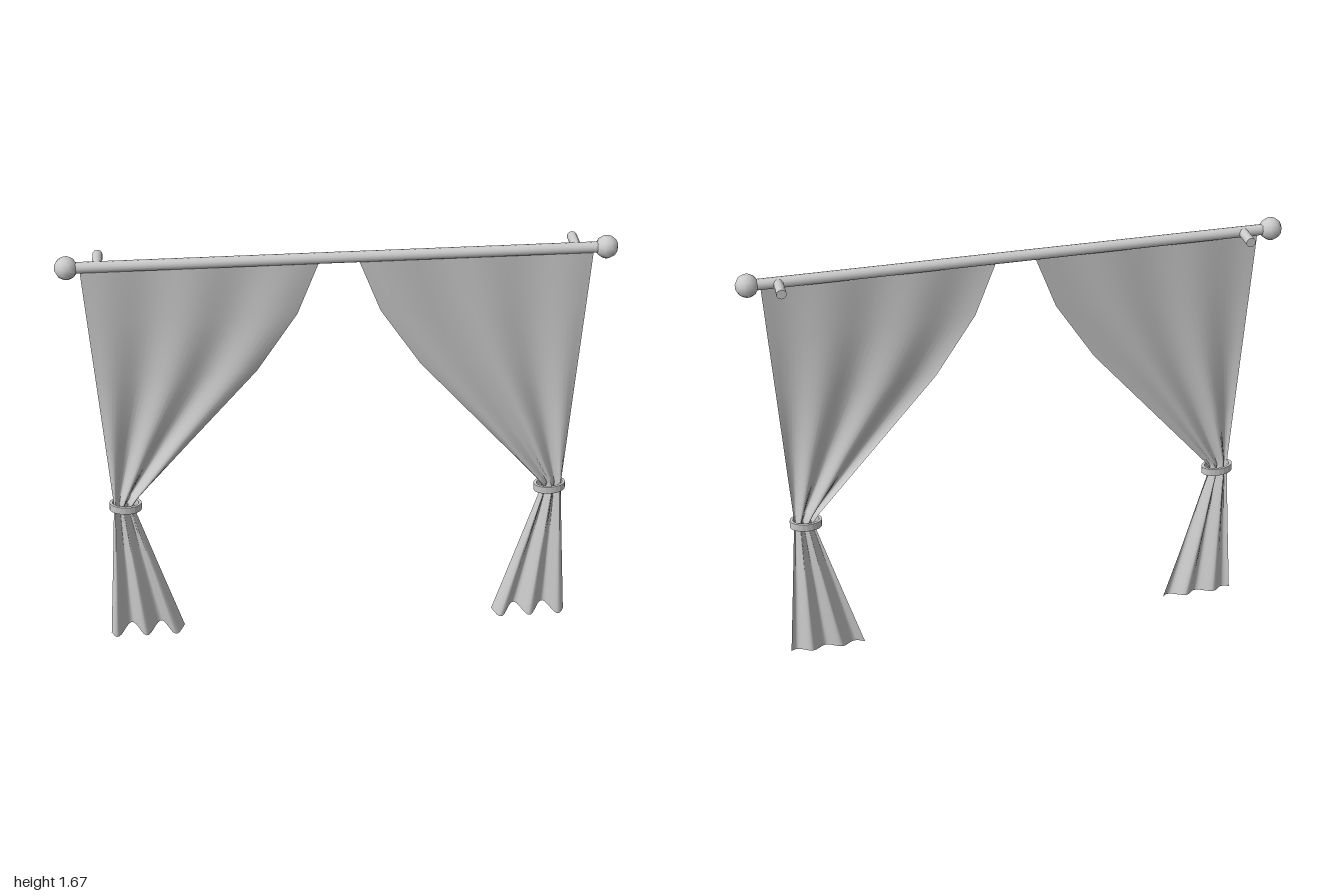
import * as THREE from 'three';

const grey = new THREE.MeshStandardMaterial({ color: 0xcccccc });
const cloth = new THREE.MeshStandardMaterial({ color: 0xcccccc, side: THREE.DoubleSide });
const ROD_Y = 1.64, ROD_Z = 0.025;

function add(group, name, geometry, material = grey) {
  const mesh = new THREE.Mesh(geometry, material);
  mesh.name = name;
  group.add(mesh);
  return mesh;
}

// Rows of the drape: [height, outer x, inner x, fold depth]
const rows = [
  [1.64, 0.912, 0.065, 0.004],
  [1.42, 0.9, 0.15, 0.007],
  [1.19, 0.887, 0.3, 0.01],
  [0.9, 0.871, 0.55, 0.015],
  [0.66, 0.858, 0.757, 0.019],
  [0.62, 0.857, 0.785, 0.02],
  [0.58, 0.86, 0.775, 0.02],
  [0.3, 0.882, 0.695, 0.025],
  [0.02, 0.905, 0.615, 0.029],
];

// Pleated sheet gathered at the tie; side is +1 or -1
function drapeGeometry(side) {
  const cols = 30, pos = [], index = [];
  rows.forEach(([y, outer, inner, depth], r) => {
    for (let c = 0; c <= cols; c++) {
      const u = c / cols;
      const wave = Math.sin(u * Math.PI * 5 + 0.3);
      const hem = r === rows.length - 1 ? -0.013 * wave : 0;
      pos.push(side * THREE.MathUtils.lerp(outer, inner, u), y + hem, 0.03 + depth * wave);
    }
  });
  for (let r = 0; r < rows.length - 1; r++) {
    for (let c = 0; c < cols; c++) {
      const a = r * (cols + 1) + c, b = a + 1, d = a + cols + 1, e = d + 1;
      if (side > 0) index.push(a, b, d, b, e, d);
      else index.push(a, d, b, b, d, e);
    }
  }
  const g = new THREE.BufferGeometry();
  g.setAttribute('position', new THREE.Float32BufferAttribute(pos, 3));
  g.setIndex(index);
  g.computeVertexNormals();
  return g;
}

// Flat oval band with a rectangular section
function tieGeometry() {
  const oval = (path, x, z) => path.absellipse(0, 0, x, z, 0, Math.PI * 2, false, 0);
  const shape = oval(new THREE.Shape(), 0.061, 0.039);
  shape.holes.push(oval(new THREE.Path(), 0.05, 0.03));
  return new THREE.ExtrudeGeometry(shape, { depth: 0.03, bevelEnabled: false, curveSegments: 10 })
    .translate(0, 0, -0.015).rotateX(-Math.PI / 2);
}

export function createModel() {
  const model = new THREE.Group();
  model.name = 'curtains';

  // Rod across the top
  add(model, 'rod', new THREE.CylinderGeometry(0.02, 0.02, 1.88, 12).rotateZ(Math.PI / 2))
    .position.set(0, ROD_Y, ROD_Z);

  for (const side of [1, -1]) {
    const half = new THREE.Group();
    half.name = side > 0 ? 'leftSide' : 'rightSide';
    model.add(half);

    // Ball on the rod end
    add(half, 'finial', new THREE.SphereGeometry(0.042, 10, 7))
      .position.set(side * 0.958, ROD_Y, ROD_Z);

    // Wall bracket running back from the rod
    add(half, 'bracket', new THREE.CylinderGeometry(0.018, 0.018, 0.095, 10).rotateX(Math.PI / 2))
      .position.set(side * 0.85, ROD_Y, -0.0225);

    // Cloth and its tie
    add(half, 'drape', drapeGeometry(side), cloth);
    const tie = add(half, 'tieback', tieGeometry());
    tie.position.set(side * 0.813, 0.62, 0.03);
    tie.rotation.z = side * 0.05;
  }
  return model;
}
